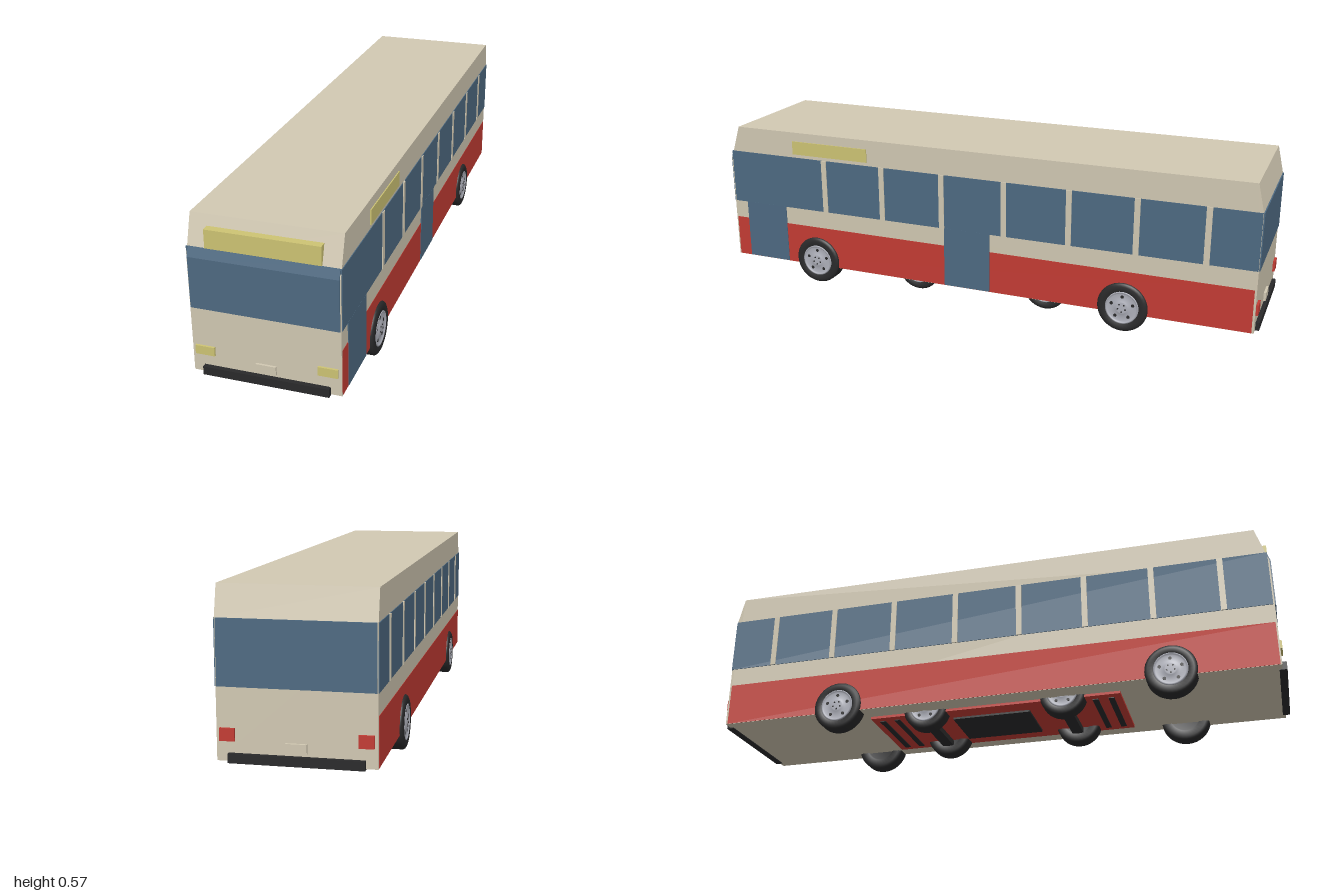
import * as THREE from 'three';

const mat = (name, color) => {
  const m = new THREE.MeshStandardMaterial({ color });
  m.name = name;
  return m;
};

export function createModel() {
  const cream = mat('cream paint', 0xd2c9b3);
  const red = mat('red paint', 0xc43c34);
  const glass = mat('blue glass', 0x4e6a82);
  const yellow = mat('yellow lamp', 0xcec474);
  const black = mat('black rubber', 0x2a2a2b);
  const silver = mat('wheel silver', 0xb0b2bc);
  const bus = new THREE.Group();
  bus.name = 'bus';

  const add = (name, geometry, material, parent = bus) => {
    const mesh = new THREE.Mesh(geometry, material);
    mesh.name = name;
    parent.add(mesh);
    return mesh;
  };
  // box given by its limits on each axis
  const box = (name, material, [x0, x1], [y0, y1], [z0, z1]) =>
    add(name, new THREE.BoxGeometry(x1 - x0, y1 - y0, z1 - z0), material)
      .position.set((x0 + x1) / 2, (y0 + y1) / 2, (z0 + z1) / 2);
  // side profile of [z, y] points swept across the width
  const sweep = (name, material, points, halfWidth) => {
    const shape = new THREE.Shape(points.map(p => new THREE.Vector2(...p)));
    const g = new THREE.ExtrudeGeometry(shape, { depth: halfWidth * 2, bevelEnabled: false });
    g.rotateY(-Math.PI / 2).translate(halfWidth, 0, 0);
    return add(name, g, material);
  };
  // limits of a span on the left (+1) or right (-1) side
  const span = (s, a, b) => (s > 0 ? [a, b] : [-b, -a]);

  // body shell with sloping front and back roof edges
  sweep('body', cream, [[-0.987, 0.065], [0.985, 0.065], [0.985, 0.45],
    [0.945, 0.575], [-0.965, 0.575], [-0.987, 0.48]], 0.235);

  // windscreen and back window
  sweep('windscreen', glass, [[0.98, 0.283], [0.989, 0.283], [0.989, 0.45],
    [0.979, 0.48], [0.97, 0.48]], 0.232);
  box('backWindow', glass, [-0.232, 0.232], [0.283, 0.48], [-0.991, -0.984]);

  // side stripes, window bands and pillars
  for (const s of [1, -1]) {
    box('sideStripe', red, span(s, 0.23, 0.2362), [0.066, 0.217], [-0.98, 0.98]);
    box('sideWindows', glass, span(s, 0.23, 0.2375), [0.283, 0.48], [-0.986, 0.98]);
    for (let i = 0; i < 8; i++) {
      const z = -0.82 + i * 0.2345;
      if (i === 7 && s > 0) continue;
      box('windowPillar', cream, span(s, 0.232, 0.24), [0.283, 0.48], [z - 0.01, z + 0.01]);
    }
  }

  // doors and destination signs
  for (const range of [[0.76, 0.93], [-0.063, 0.11]])
    box('door', glass, [0.23, 0.2378], [0.067, 0.284], range);
  box('sideSign', yellow, [0.23, 0.2385], [0.493, 0.542], [0.41, 0.715]);
  box('frontSign', yellow, [-0.178, 0.178], [0.482, 0.542], [0.95, 0.981]);

  // lamps, plates and bumpers
  for (const s of [1, -1]) {
    box('headlamp', yellow, span(s, 0.163, 0.225), [0.127, 0.156], [0.98, 0.992]);
    box('tailLamp', red, span(s, 0.18, 0.225), [0.125, 0.163], [-0.995, -0.98]);
    box('numberPlate', cream, [-0.032, 0.032], [0.098, 0.127], s > 0 ? [0.98, 0.992] : [-0.995, -0.98]);
    box('bumper', black, [-0.2, 0.2], [0.062, 0.09], span(s, 0.975, 1));
  }

  // wheel profiles of [radius, offset along the axle]
  const lathe = (points, n = 36) => new THREE.LatheGeometry(
    points.map(p => new THREE.Vector2(...p)), n).rotateZ(-Math.PI / 2);
  const tyreGeo = lathe([[0, -0.024], [0.05, -0.024], [0.055, -0.03], [0.076, -0.03],
    [0.085, -0.026], [0.088, -0.021], [0.088, 0.022], [0.085, 0.027], [0.077, 0.031],
    [0.06, 0.031], [0.056, 0.024]]);
  const rimGeo = lathe([[0.058, 0.022], [0.058, 0.031], [0.053, 0.0315], [0.05, 0.026],
    [0.03, 0.028], [0.022, 0.031], [0.018, 0.032], [0, 0.032]]);
  const slotGeo = new THREE.CylinderGeometry(0.006, 0.006, 0.003, 10).rotateZ(-Math.PI / 2);
  const boltGeo = new THREE.CylinderGeometry(0.003, 0.003, 0.003, 6).rotateZ(-Math.PI / 2);
  const wheel = (name, s, x, z, size) => {
    const g = new THREE.Group();
    g.name = name;
    add('tyre', tyreGeo, black, g);
    add('rim', rimGeo, silver, g);
    for (let i = 0; i < 5; i++) {
      const a = (i / 5) * Math.PI * 2 + Math.PI / 2;
      add('rimSlot', slotGeo, black, g)
        .position.set(0.0265, Math.sin(a) * 0.039, Math.cos(a) * 0.039);
      add('wheelBolt', boltGeo, black, g)
        .position.set(0.0325, Math.sin(a + 0.63) * 0.014, Math.cos(a + 0.63) * 0.014);
    }
    g.scale.set(1, size, size);
    g.rotation.y = s > 0 ? 0 : Math.PI;
    g.position.set(s * x, 0.088 * size, z);
    bus.add(g);
  };
  for (const s of [1, -1]) {
    wheel('frontWheel', s, 0.215, 0.632, 1);
    wheel('rearWheel', s, 0.215, -0.548, 1);
    wheel('innerFrontWheel', s, 0.137, 0.25, 0.92);
    wheel('innerRearWheel', s, 0.137, -0.245, 0.92);
  }

  // underfloor frame, centre panel, axles and cross bars
  box('underFrame', red, [-0.162, 0.162], [0.056, 0.068], [-0.45, 0.45]);
  box('centrePanel', black, [-0.1, 0.1], [0.049, 0.06], [-0.16, 0.12]);
  for (const z of [0.25, -0.245])
    box('axle', black, [-0.12, 0.12], [0.033, 0.053], [z - 0.02, z + 0.02]);
  for (const z of [0.36, 0.415, -0.36, -0.415])
    box('crossBar', black, [-0.135, 0.135], [0.053, 0.06], [z - 0.01, z + 0.01]);

  return bus;
}
